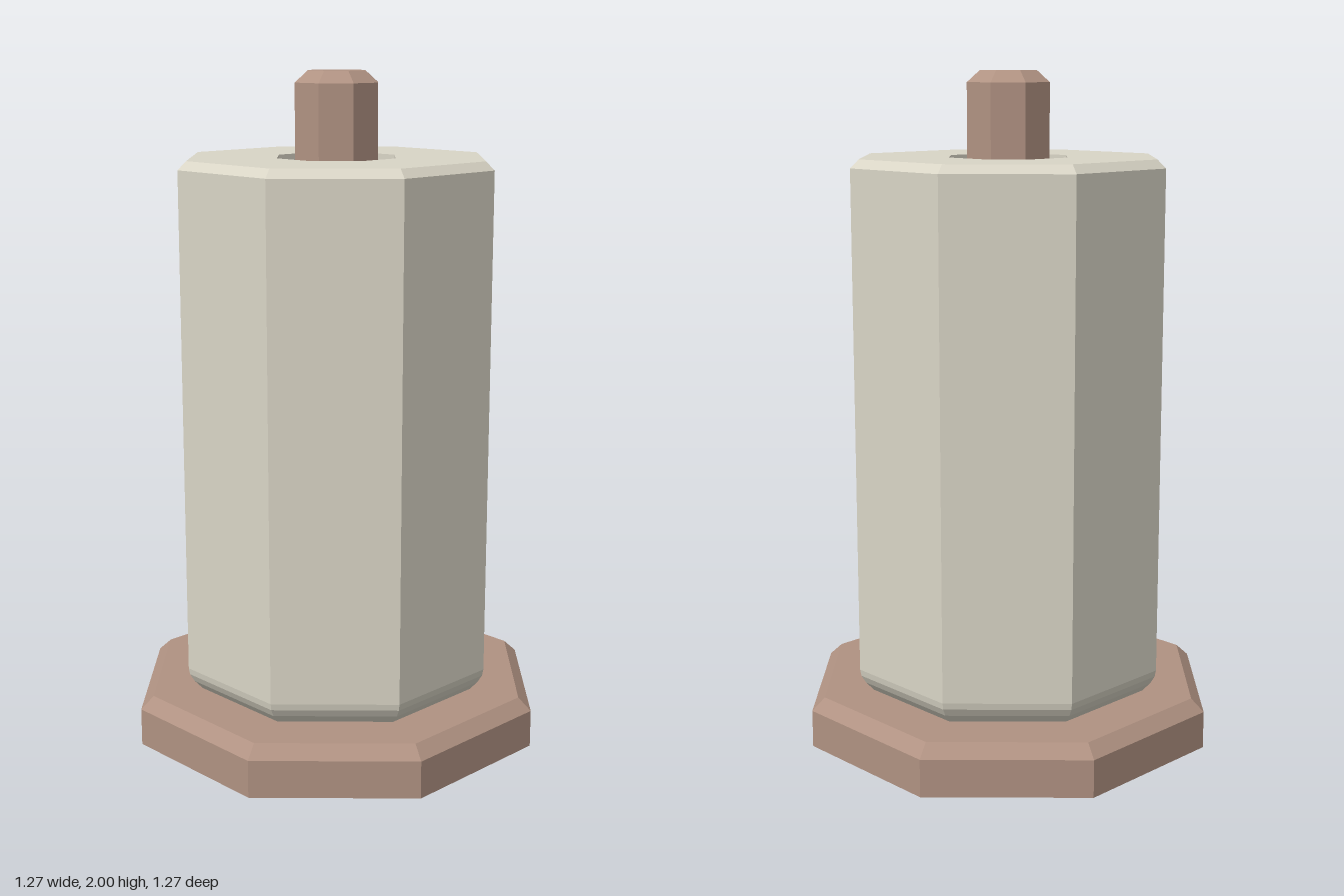
import * as THREE from 'three';

const SIDES = 8;

// Faceted solid of revolution; profile runs up the outside as [radius, y]
function facetedLathe(name, profile, material) {
  const points = profile.map(([r, y]) => new THREE.Vector2(r, y));
  const geometry = new THREE.LatheGeometry(points, SIDES).toNonIndexed();
  geometry.computeVertexNormals();
  const mesh = new THREE.Mesh(geometry, material);
  mesh.name = name;
  return mesh;
}

export function createModel() {
  const wood = new THREE.MeshStandardMaterial({ color: 0xb09282 });
  wood.name = 'brown wood';
  const paper = new THREE.MeshStandardMaterial({ color: 0xd9d5c6 });
  paper.name = 'cream paper';

  const model = new THREE.Group();
  model.name = 'paperTowelHolder';

  // Bevelled octagonal foot
  model.add(facetedLathe('base', [
    [0, 0], [0.637, 0], [0.637, 0.113], [0.597, 0.15], [0, 0.15],
  ], wood));

  // Upright post with a bevelled tip
  model.add(facetedLathe('post', [
    [0.13, 0.15], [0.13, 1.966], [0.09, 2], [0, 2],
  ], wood));

  // Hollow roll, rounded under at the bottom and bevelled at the top
  model.add(facetedLathe('paperRoll', [
    [0.186, 0.151], [0.442, 0.151], [0.467, 0.178], [0.481, 0.202], [0.485, 0.222],
    [0.485, 1.727], [0.459, 1.752], [0.186, 1.752], [0.186, 0.151],
  ], paper));

  return model;
}
